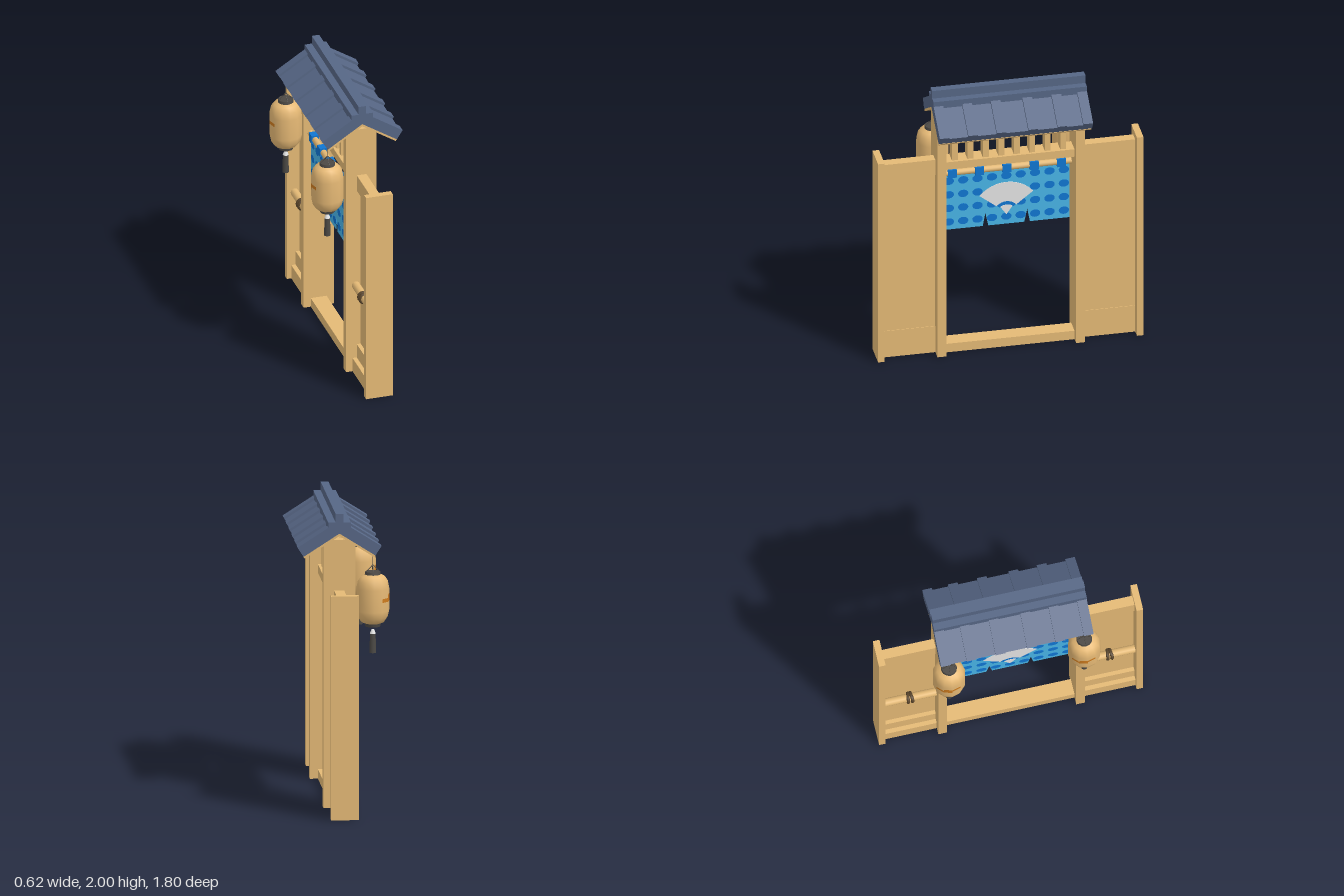
import * as THREE from 'three';

const mat = (name, color, side = THREE.FrontSide) => {
  const m = new THREE.MeshStandardMaterial({ color, side });
  m.name = name;
  return m;
};

export function createModel() {
  const root = new THREE.Group();
  root.name = 'gate';
  const wood = mat('wood', 0xe4b975), slate = mat('slate', 0x566685);
  const paper = mat('lanternPaper', 0xe6b975), iron = mat('darkIron', 0x4c4945);
  const cloth = mat('lightBlueCloth', 0x48b4e6), blue = mat('deepBlue', 0x1076d2);
  const white = mat('paleGrey', 0xe4e4e4), orange = mat('orangePaint', 0xcf7c1e, THREE.DoubleSide);
  const rope = mat('rope', 0x5a452b);
  const CX = 0.028; // centre line of the roof in x

  const add = (name, geo, material, parent = root) => {
    const m = new THREE.Mesh(geo, material);
    m.name = name;
    parent.add(m);
    return m;
  };
  // Box given by its limits
  const box = (name, x0, x1, y0, y1, z0, z1, material = wood) => {
    const m = add(name, new THREE.BoxGeometry(x1 - x0, y1 - y0, z1 - z0), material);
    m.position.set((x0 + x1) / 2, (y0 + y1) / 2, (z0 + z1) / 2);
    return m;
  };
  // Rod between two points
  const rod = (name, a, b, r, material, parent = root, sides = 6) => {
    const A = new THREE.Vector3(...a), B = new THREE.Vector3(...b), d = B.clone().sub(A);
    const m = add(name, new THREE.CylinderGeometry(r, r, d.length(), sides), material, parent);
    m.position.copy(A).add(B).multiplyScalar(0.5);
    m.quaternion.setFromUnitVectors(new THREE.Vector3(0, 1, 0), d.normalize());
    return m;
  };

  // Posts, side walls and door bars, mirrored in z
  for (const s of [1, -1]) {
    const zb = (name, x0, x1, y0, y1, a, b) =>
      box(name, x0, x1, y0, y1, Math.min(s * a, s * b), Math.max(s * a, s * b));
    zb('mainPost', -0.08, 0.133, 0, 1.82, 0.44, 0.5);
    zb('outerPost', -0.066, 0.12, 0, 1.52, 0.855, 0.9);
    zb('wallPanel', 0.022, 0.058, 0.2, 1.36, 0.5, 0.855);
    zb('wallTopRail', -0.005, 0.062, 1.36, 1.475, 0.5, 0.855);
    zb('wallBottomRail', -0.005, 0.062, 0, 0.2, 0.5, 0.855);
    zb('wallLedge', -0.035, -0.005, 0, 0.1, 0.5, 0.855);
    rod('wallBar', [-0.012, 0.648, s * 0.5], [-0.012, 0.648, s * 0.855], 0.028, wood, root, 12);
    for (const k of [-0.011, 0.011]) {
      const t = add('ropeBinding', new THREE.TorusGeometry(0.032, 0.012, 6, 12), rope);
      t.position.set(-0.012, 0.648, s * 0.68 + k);
      t.rotation.y = k * 12;
    }
  }

  // Sill, lintel and transom
  box('sill', -0.03, 0.08, 0, 0.065, -0.44, 0.44);
  box('lintel', -0.03, 0.08, 1.4, 1.457, -0.44, 0.44);
  box('transomBar', 0.005, 0.03, 1.6, 1.637, -0.44, 0.44);
  for (let i = 0; i < 8; i++) {
    const z = (i - 3.5) * 0.105;
    box('transomSlat', -0.012, 0.062, 1.457, 1.81, z - 0.02, z + 0.02);
  }

  // Roof: sloped strips of thickness t, starting at height y on the centre line
  const slope = (name, s, y, u, t, z, width, material) => {
    const e = y - 0.64 * u;
    const shape = new THREE.Shape([
      [0, y], [u, e], [u - 0.54 * t, e - 0.842 * t], [0, y - t / 0.842],
    ].map(([a, b]) => new THREE.Vector2(CX + s * a, b)));
    const m = add(name, new THREE.ExtrudeGeometry(shape, { depth: width, bevelEnabled: false }), material);
    m.position.z = z - width / 2;
  };
  for (const s of [1, -1]) {
    slope('roofSlab', s, 1.936, 0.27, 0.059, 0, 1.036, slate);
    slope('roofLining', s, 1.866, 0.24, 0.014, 0, 1.036, wood);
    for (const z of [0.487, 0.293, 0.1, -0.115, -0.312, -0.487])
      slope('roofRib', s, 1.955, 0.28, 0.072, z, 0.066, slate);
  }
  box('ridgeBase', CX - 0.075, CX + 0.075, 1.89, 1.942, -0.52, 0.52, slate);
  box('ridgeCap', CX - 0.026, CX + 0.026, 1.94, 2, -0.52, 0.52, slate);

  // Curtain, drawn in (z, y) and turned to face the x axis
  const KX = -0.03;
  const curtain = new THREE.Group();
  curtain.name = 'curtain';
  curtain.position.x = KX;
  curtain.rotation.y = Math.PI / 2;
  root.add(curtain);
  const plate = (name, shape, thick, material) => {
    const g = new THREE.ExtrudeGeometry(shape, { depth: thick, bevelEnabled: false, curveSegments: 8 });
    add(name, g.translate(0, 0, -thick / 2), material, curtain);
  };
  const poly = (pts) => new THREE.Shape(pts.map((p) => new THREE.Vector2(...p)));
  plate('curtainCloth', poly([
    [-0.427, 1.29], [-0.427, 0.877], [-0.16, 0.877], [-0.142, 0.975], [-0.122, 0.877],
    [0.122, 0.877], [0.142, 0.975], [0.16, 0.877], [0.427, 0.877], [0.427, 1.29],
  ]), 0.003, cloth);
  for (let r = 0; r < 4; r++) {
    for (let c = -4; c <= 4; c++) {
      if (r === 1 && Math.abs(c) < 2) continue; // covered by the fan
      const dot = new THREE.Shape();
      dot.absellipse(c * 0.0975, 1.247 - r * 0.104, 0.035, 0.028, 0, Math.PI * 2);
      plate('curtainDot', dot, 0.006, blue);
    }
  }
  const sector = (cy, r0, r1, half) => {
    const sh = new THREE.Shape();
    sh.absarc(0, cy, r1, Math.PI / 2 - half, Math.PI / 2 + half, false);
    if (r0 > 0) sh.absarc(0, cy, r0, Math.PI / 2 + half, Math.PI / 2 - half, true);
    else sh.lineTo(0, cy);
    return sh;
  };
  plate('fanLeaf', sector(0.965, 0.085, 0.232, 0.9), 0.009, white);
  plate('fanBand', sector(0.965, 0.062, 0.085, 0.85), 0.009, blue);
  plate('fanHandle', sector(0.95, 0, 0.074, 0.6), 0.0095, white);
  rod('curtainRod', [KX, 1.312, -0.44], [KX, 1.312, 0.44], 0.022, wood, root, 12);
  for (let i = -2; i <= 2; i++)
    box('curtainLoop', KX - 0.026, KX + 0.026, 1.283, 1.343, i * 0.185 - 0.03, i * 0.185 + 0.03, blue);

  // Hanging lanterns
  const profile = [[0.05, 1.24], [0.078, 1.252], [0.1, 1.285], [0.11, 1.33], [0.11, 1.48],
    [0.1, 1.53], [0.08, 1.56], [0.05, 1.575]].map((p) => new THREE.Vector2(...p));
  for (const z of [0.467, -0.455]) {
    const lantern = new THREE.Group();
    lantern.name = 'lantern';
    lantern.position.set(-0.2, 0, z);
    root.add(lantern);
    add('lanternBody', new THREE.LatheGeometry(profile, 12), paper, lantern);
    const drum = (name, rt, rb, y0, y1, material) => {
      add(name, new THREE.CylinderGeometry(rt, rb, y1 - y0, 12), material, lantern)
        .position.y = (y0 + y1) / 2;
    };
    drum('lanternTopCap', 0.05, 0.056, 1.563, 1.592, iron);
    drum('lanternBottomCap', 0.056, 0.05, 1.22, 1.25, iron);
    rod('lanternWire', [0, 1.635, 0], [0, 1.76, 0], 0.003, iron, lantern);
    for (const s of [1, -1]) {
      rod('lanternHandle', [s * 0.045, 1.59, 0], [0, 1.637, 0], 0.0025, iron, lantern);
      rod('lanternHandle', [0, 1.59, s * 0.045], [0, 1.637, 0], 0.0025, iron, lantern);
    }
    drum('tasselHead', 0.009, 0.02, 1.17, 1.2, white);
    drum('tasselFringe', 0.019, 0.022, 1.04, 1.172, iron);
    // Painted marks on the outer side of the paper, in the lathe's twelve facets
    for (const [y, h, first, count] of [[1.432, 0.024, 8, 2], [1.408, 0.026, 7, 2]]) {
      const g = new THREE.CylinderGeometry(0.1112, 0.1112, h, count, 1, true,
        first * Math.PI / 6, count * Math.PI / 6);
      add('lanternMark', g, orange, lantern).position.y = y;
    }
  }
  return root;
}
